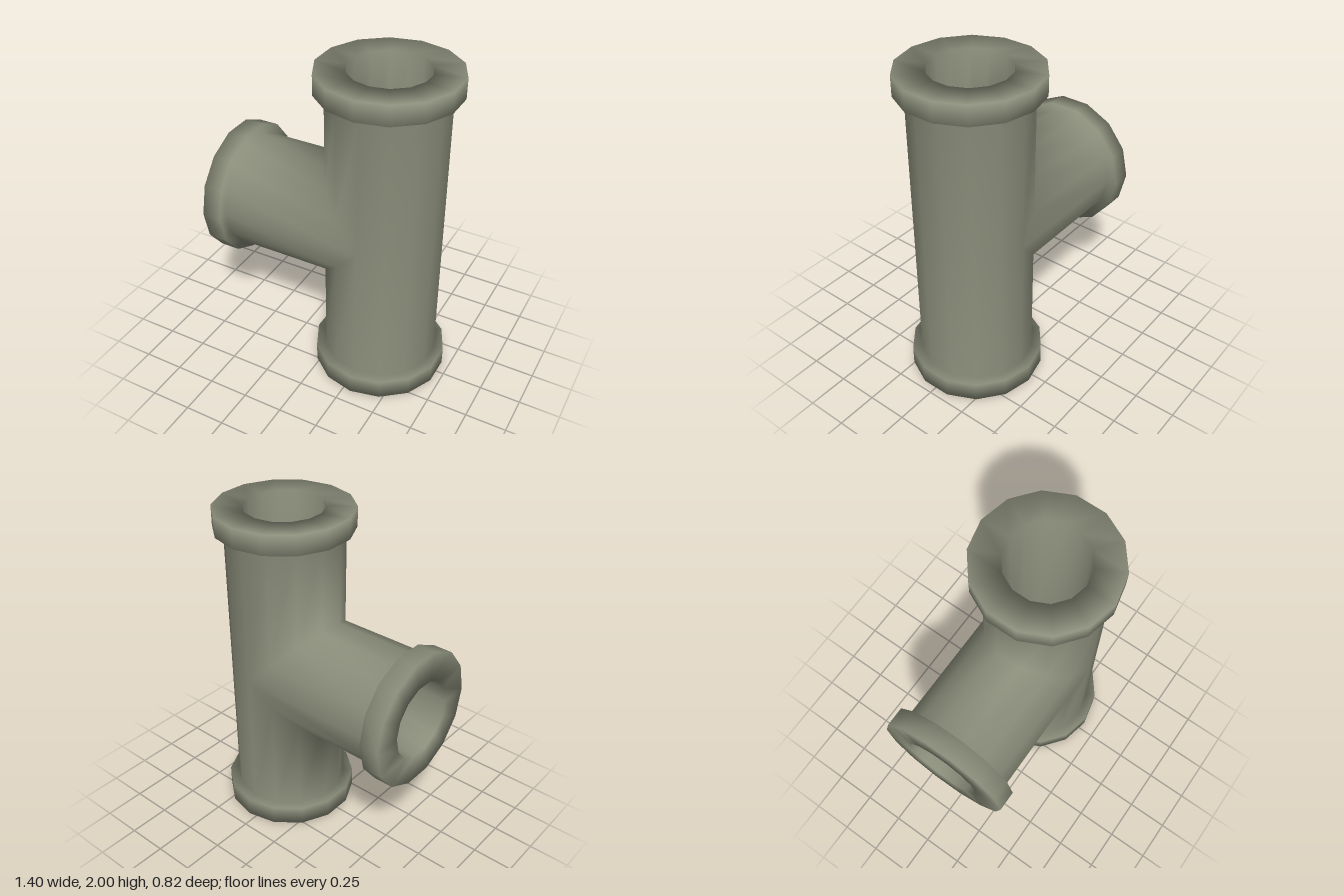
import * as THREE from 'three';
import { mergeGeometries, mergeVertices } from 'three/addons/utils/BufferGeometryUtils.js';

const SIDES = 14;
const PIPE = 0.35, FLANGE = 0.41, BORE = 0.235;

// One hollow arm along +y: outer wall, flange, end face and bore.
// start(x) is the mitre height at which the arm meets its neighbours.
function armGeometry(start, turn) {
  const profile = [[PIPE, null], [PIPE, 0.88], [FLANGE, 0.88], [FLANGE, 1], [BORE, 1], [BORE, null]];
  const positions = [], index = [];
  profile.forEach(([r, y], row) => {
    for (let k = 0; k < SIDES; k++) {
      const a = (k / SIDES) * Math.PI * 2;
      const x = r * Math.sin(a);
      let z = r * Math.cos(a);
      // The bore is slightly flattened where all three arms meet
      if (y === null && r === BORE && Math.abs(x) < 1e-6) z *= 0.9;
      positions.push(x, y === null ? start(x) : y, z);
      if (row < profile.length - 1) {
        const b = row * SIDES, n = (k + 1) % SIDES;
        index.push(b + k, b + n, b + SIDES + n, b + k, b + SIDES + n, b + SIDES + k);
      }
    }
  });
  const geometry = new THREE.BufferGeometry();
  geometry.setAttribute('position', new THREE.Float32BufferAttribute(positions, 3));
  geometry.setIndex(index);
  return geometry.rotateZ(turn);
}

export function createModel() {
  const group = new THREE.Group();
  group.name = 'pipeTee';

  // Upper, lower and side arms, welded so the shading flows across the joint
  const arms = [
    armGeometry((x) => Math.max(0, -x), 0),
    armGeometry((x) => Math.max(0, x), Math.PI),
    armGeometry((x) => Math.abs(x), Math.PI / 2),
  ];
  const geometry = mergeVertices(mergeGeometries(arms), 1e-4);
  geometry.computeVertexNormals();

  const pipe = new THREE.Mesh(geometry, new THREE.MeshStandardMaterial({ color: 0x8a8d7a }));
  pipe.name = 'flangedPipe';
  pipe.position.set(0.3, 1, 0);
  group.add(pipe);
  return group;
}
